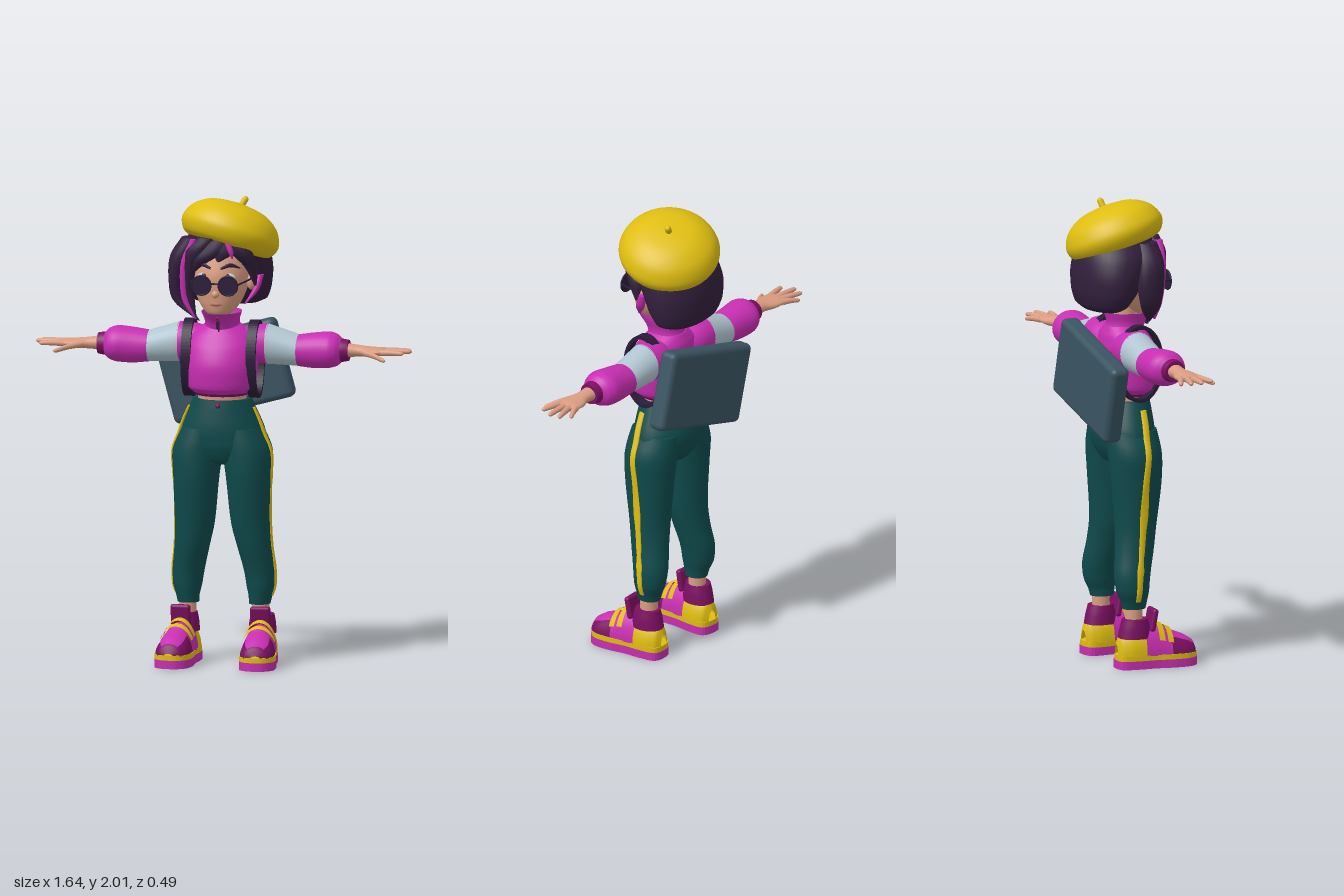
import * as THREE from 'three';
import { RoundedBoxGeometry } from 'three/addons/geometries/RoundedBoxGeometry.js';

const mat = (name, color) => {
  const m = new THREE.MeshStandardMaterial({ color, side: THREE.DoubleSide });
  m.name = name;
  return m;
};
const X = new THREE.Vector3(1, 0, 0), Y = new THREE.Vector3(0, 1, 0), Z = new THREE.Vector3(0, 0, 1);
const FULL = [0, Math.PI * 2], HALF = [0, Math.PI], TOP = [0.85, 2.29];

// Smooth skin through elliptical rings [x, y, z, radiusU, radiusV], capped when closed
function loft(rings, U = X, V = Z, arc = FULL, n = 28) {
  const centres = new THREE.CatmullRomCurve3(rings.map(r => new THREE.Vector3(r[0], r[1], r[2])));
  const radii = new THREE.CatmullRomCurve3(rings.map(r => new THREE.Vector3(r[3], r[4], 0)));
  const closed = arc === FULL, cols = closed ? n : n + 1, rows = (rings.length - 1) * 4;
  const pos = [], idx = [];
  const ends = centres.getPoint(1).sub(centres.getPoint(0));
  const flip = new THREE.Vector3().crossVectors(U, V).dot(ends) < 0;
  const tri = (a, b, c) => flip ? idx.push(a, c, b) : idx.push(a, b, c);
  const ring = t => {
    const c = centres.getPoint(t), r = radii.getPoint(t), first = pos.length / 3;
    for (let j = 0; j < cols; j++) {
      const a = arc[0] + (arc[1] - arc[0]) * j / n;
      const p = c.clone().addScaledVector(U, r.x * Math.cos(a)).addScaledVector(V, r.y * Math.sin(a));
      pos.push(p.x, p.y, p.z);
    }
    return first;
  };
  for (let i = 0; i <= rows; i++) ring(i / rows);
  for (let i = 0; i < rows; i++) for (let j = 0; j < n; j++) {
    const a = i * cols + j, b = i * cols + (j + 1) % cols;
    tri(a, b, a + cols);
    tri(b, b + cols, a + cols);
  }
  if (closed) for (const t of [0, 1]) {
    const first = ring(t), c = centres.getPoint(t), mid = pos.length / 3;
    pos.push(c.x, c.y, c.z);
    for (let j = 0; j < n; j++) {
      const a = first + j, b = first + (j + 1) % n;
      t ? tri(mid, a, b) : tri(mid, b, a);
    }
  }
  const g = new THREE.BufferGeometry();
  g.setAttribute('position', new THREE.Float32BufferAttribute(pos, 3));
  g.setIndex(idx);
  g.computeVertexNormals();
  return g;
}

export function createModel() {
  const skin = mat('skin', 0xd99c80), magenta = mat('magenta', 0xc82eb2), plum = mat('plum', 0x7c0f62);
  const hair = mat('dark hair', 0x321f3c), yellow = mat('yellow', 0xdebd10), teal = mat('teal', 0x0f4a4c);
  const slate = mat('slate', 0x3a5462), pale = mat('pale blue', 0xb0c5d0);
  const dark = mat('dark violet', 0x2a1c38), lip = mat('lip', 0xb06a60);
  const model = new THREE.Group();
  const add = (name, geometry, material, p = [0, 0, 0], parent = model) => {
    const m = new THREE.Mesh(geometry, material);
    m.name = name;
    m.position.set(...p);
    parent.add(m);
    return m;
  };

  // Head and face
  add('head', loft([[0, 1.508, .085, .03, .035], [0, 1.53, .07, .062, .068], [0, 1.57, .05, .092, .098],
    [0, 1.63, .035, .115, .12], [0, 1.7, .02, .124, .135], [0, 1.78, 0, .12, .13], [0, 1.83, -.01, .09, .1]]), skin);
  add('neck', new THREE.CylinderGeometry(.043, .05, .14, 24), skin, [0, 1.49, 0]);
  add('nose', new THREE.SphereGeometry(.016, 16, 12), skin, [0, 1.612, .157]);
  add('lips', new THREE.SphereGeometry(1, 16, 10), lip, [0, 1.567, .146]).scale.set(.026, .008, .006);
  for (const s of [-1, 1]) {
    add('ear', new THREE.SphereGeometry(1, 16, 12), skin, [s * .133, 1.655, .035]).scale.set(.02, .036, .024);
    add('eye', new THREE.SphereGeometry(1, 16, 10), pale, [s * .055, 1.685, .139]).scale.set(.03, .018, .008);
    add('pupil', new THREE.SphereGeometry(1, 12, 8), dark, [s * .052, 1.685, .144]).scale.set(.012, .015, .006);
    add('eyebrow', loft([[s * .022, 1.722, .146, .006, .004], [s * .06, 1.737, .134, .009, .005],
      [s * .098, 1.722, .106, .003, .004]], Y, Z, FULL, 10), hair);
    // Round glasses
    add('lens', new THREE.CylinderGeometry(.04, .04, .004, 32).rotateX(Math.PI / 2), dark, [s * .058, 1.652, .172]);
    add('lensRim', new THREE.TorusGeometry(.041, .004, 8, 36), dark, [s * .058, 1.652, .172]);
    add('temple', new THREE.TubeGeometry(new THREE.LineCurve3(new THREE.Vector3(s * .099, 1.657, .17),
      new THREE.Vector3(s * .145, 1.672, .02)), 2, .004, 8), dark);
  }
  add('bridge', new THREE.BoxGeometry(.036, .006, .006), dark, [0, 1.66, .174]);

  // Bob haircut
  add('hairBack', loft([[0, 1.545, -.11, .13, .072], [0, 1.565, -.11, .172, .095], [-.005, 1.62, -.1, .198, .124],
    [-.005, 1.7, -.083, .207, .147], [0, 1.78, -.055, .195, .163], [.01, 1.86, -.03, .15, .15]], X, Z, FULL, 40), hair);
  const lock = (material, name, ...rings) => add(name, loft(rings, X, Z, FULL, 14), material);
  lock(hair, 'sideLock', [-.12, 1.84, .04, .05, .05], [-.17, 1.76, .04, .05, .06], [-.193, 1.66, .03, .035, .06],
    [-.182, 1.57, .035, .028, .045], [-.09, 1.485, .07, .005, .006]);
  lock(hair, 'innerLock', [-.03, 1.85, .1, .06, .04], [-.09, 1.79, .11, .05, .035], [-.125, 1.7, .09, .03, .035],
    [-.13, 1.6, .08, .024, .025], [-.1, 1.5, .085, .004, .005]);
  lock(magenta, 'pinkLock', [-.1, 1.84, .11, .018, .02], [-.14, 1.75, .108, .018, .018], [-.15, 1.65, .1, .016, .016],
    [-.142, 1.57, .092, .014, .014], [-.1, 1.495, .092, .004, .005]);
  lock(hair, 'fringe', [.03, 1.86, .09, .07, .05], [-.01, 1.8, .122, .06, .03], [-.06, 1.755, .125, .04, .025],
    [-.105, 1.7, .105, .006, .008]);
  lock(hair, 'fringe', [.03, 1.85, .1, .05, .04], [.03, 1.79, .13, .045, .02], [.01, 1.75, .138, .006, .006]);
  lock(hair, 'fringe', [.07, 1.85, .07, .06, .06], [.1, 1.79, .095, .05, .04], [.138, 1.72, .06, .028, .035],
    [.15, 1.64, .04, .006, .01]);
  lock(magenta, 'pinkFringe', [.04, 1.85, .13, .014, .014], [.062, 1.8, .14, .013, .012], [.07, 1.765, .138, .003, .004]);
  lock(magenta, 'pinkLock', [.165, 1.68, -.005, .014, .02], [.15, 1.62, .022, .014, .022], [.11, 1.56, .06, .004, .006]);

  // Tilted beret with a stem
  const beret = new THREE.Group();
  beret.name = 'beret';
  beret.position.set(.025, 1.85, -.035);
  beret.rotation.set(-.28, 0, -.28);
  model.add(beret);
  const crown = new THREE.SplineCurve([[.15, -.065], [.19, -.05], [.215, -.01], [.212, .03], [.18, .08], [.11, .12], [0, .135]]
    .map(p => new THREE.Vector2(...p))).getPoints(28);
  crown[crown.length - 1].x = 0;
  add('beretCrown', new THREE.LatheGeometry(crown, 48), yellow, [0, 0, 0], beret);
  add('beretBase', new THREE.CylinderGeometry(.155, .15, .02, 40), yellow, [0, -.055, 0], beret);
  add('beretStem', new THREE.CapsuleGeometry(.014, .03, 6, 14), yellow, [.012, .143, 0], beret).rotation.z = -.25;

  // Jacket, collar and midriff
  add('jacket', loft([[0, 1.175, .025, .12, .105], [0, 1.2, .025, .147, .128], [0, 1.29, .025, .156, .136],
    [0, 1.37, .012, .155, .122], [0, 1.425, -.004, .135, .1], [0, 1.465, -.01, .075, .078]], X, Z, FULL, 40), magenta);
  add('jacketHem', loft([[0, 1.163, .02, .11, .1], [0, 1.185, .022, .126, .112]]), plum);
  add('collar', loft([[0, 1.43, -.01, .078, .082], [0, 1.475, .005, .074, .086], [0, 1.522, .02, .086, .113]],
    X, Z, [0, Math.PI * 1.9999], 36), magenta);
  add('zip', new THREE.BoxGeometry(.006, .09, .006), plum, [0, 1.475, .098]).rotation.x = .45;
  add('zipPull', new THREE.BoxGeometry(.014, .03, .008), dark, [0, 1.47, .105]);
  add('midriff', loft([[0, 1.12, 0, .115, .092], [0, 1.15, .003, .104, .09], [0, 1.19, .01, .106, .09]]), skin);

  // Trousers seat
  add('trouserSeat', loft([[0, 1.145, 0, .126, .1], [0, 1.1, -.005, .146, .112], [0, 1.0, -.014, .184, .129],
    [0, .94, -.01, .185, .12], [0, .88, -.005, .12, .09], [0, .86, -.005, .05, .05]], X, Z, FULL, 40), teal);
  add('waistButton', new THREE.SphereGeometry(.011, 12, 8), plum, [0, 1.122, .104]);

  for (const s of [-1, 1]) {
    // Sleeve bands from shoulder to cuff
    const arm = (name, material, rings) =>
      add(name, loft(rings.map(([x, y, z, u, v]) => [s * x, y, z, u, v]), Z, Y), material);
    arm('shoulder', magenta, [[.06, 1.37, -.02, .08, .07], [.13, 1.378, -.03, .084, .084], [.195, 1.378, -.033, .08, .086]]);
    arm('sleeveBand', pale, [[.19, 1.378, -.033, .081, .087], [.26, 1.366, -.033, .076, .077], [.33, 1.354, -.032, .073, .067]]);
    arm('sleeve', magenta, [[.325, 1.354, -.032, .074, .068], [.4, 1.356, -.031, .08, .077], [.46, 1.36, -.03, .086, .078],
      [.495, 1.36, -.028, .074, .068], [.515, 1.36, -.026, .052, .05]]);
    arm('cuff', plum, [[.503, 1.36, -.026, .054, .051], [.525, 1.36, -.025, .051, .049], [.546, 1.36, -.025, .047, .045]]);
    // Hand with spread fingers
    arm('hand', skin, [[.53, 1.362, -.025, .036, .031], [.59, 1.36, -.025, .034, .025], [.64, 1.358, -.025, .052, .021],
      [.685, 1.36, -.028, .054, .016], [.71, 1.36, -.03, .042, .01]]);
    for (const [x0, z0, x1, z1, y1] of [[.68, -.066, .762, -.1, 1.352], [.69, -.042, .808, -.074, 1.36],
      [.69, -.018, .82, -.03, 1.362], [.68, .006, .795, .028, 1.36], [.61, .004, .725, .075, 1.335]])
      arm('finger', [skin][0], [[x0, 1.358, z0, .015, .014], [(x0 + x1) / 2, (1.362 + y1) / 2, (z0 + z1) / 2, .013, .012],
        [x1 - .01, y1, z1 * .93 + z0 * .07, .01, .009], [x1, y1, z1, .002, .002]]);

    // Shoulder strap loop
    const loop = new THREE.Shape().absellipse(0, 0, .107, .168, 0, Math.PI * 2);
    loop.holes.push(new THREE.Path().absellipse(0, 0, .093, .152, 0, Math.PI * 2));
    add('shoulderStrap', new THREE.ExtrudeGeometry(loop, { depth: .042, bevelEnabled: false, curveSegments: 32 })
      .translate(0, 0, -.021).rotateY(-Math.PI / 2), dark, [s * .142, 1.316, 0]);

    // Trouser leg with side stripe
    add('trouserLeg', loft([[s * .085, 1.02, -.012, .09, .115], [s * .108, .92, -.005, .108, .118], [s * .115, .8, -.002, .098, .112],
      [s * .123, .6, -.01, .085, .09], [s * .137, .5, -.022, .075, .085], [s * .155, .4, -.04, .069, .08],
      [s * .16, .33, -.04, .062, .072], [s * .158, .285, -.034, .05, .058], [s * .155, .255, -.033, .046, .052]]), teal);
    add('sideStripe', loft([[.141, 1.11, .02, .014, .006], [.167, 1.05, .018, .015, .007], [.188, .99, .014, .015, .008],
      [.214, .92, .01, .015, .007], [.212, .8, 0, .015, .006], [.207, .6, -.012, .015, .006], [.212, .5, -.022, .014, .006],
      [.223, .4, -.033, .014, .006], [.221, .33, -.036, .013, .006], [.208, .29, -.036, .012, .006]]
      .map(([x, ...r]) => [s * x, ...r]), Z, X, FULL, 12), yellow);
    add('ankle', new THREE.CylinderGeometry(.037, .04, .14, 20), skin, [s * .16, .21, -.035]);

    // Chunky shoe, toe along +z
    const shoe = new THREE.Group();
    shoe.name = 'shoe';
    shoe.position.set(s * .175, 0, .06);
    shoe.rotation.y = s * .08;
    model.add(shoe);
    const outline = [[0, -.182], [.05, -.168], [.064, -.1], [.066, -.02], [.078, .07], [.07, .145], [.035, .178], [0, .183]];
    const pts = [...outline, ...outline.slice(1, -1).reverse().map(([x, z]) => [-x, z])];
    const curve = new THREE.CatmullRomCurve3(pts.map(([x, z]) => new THREE.Vector3(x, -z, 0)), true);
    const footprint = new THREE.Shape(curve.getPoints(56).slice(0, -1).map(p => new THREE.Vector2(p.x, p.y)));
    const slab = (name, material, y, h, k) => add(name, new THREE.ExtrudeGeometry(footprint, { depth: h, bevelEnabled: false })
      .rotateX(-Math.PI / 2).scale(k, 1, k), material, [0, y, 0], shoe);
    slab('outsole', magenta, 0, .036, 1);
    slab('midsole', yellow, .036, .022, .985);
    for (let i = 0; i < 5; i++)
      add('tread', new THREE.BoxGeometry(.11, .004, .012), plum, [0, .002, -.13 + i * .06], shoe);
    const upper = (name, material, rings, arc = HALF) =>
      add(name, loft(rings.map(([z, w, h]) => [0, .055, z, w, h]), X, Y, arc, 20), material, [0, 0, 0], shoe);
    upper('toeCap', plum, [[.178, .02, .01], [.165, .052, .042], [.125, .072, .07], [.05, .072, .1]]);
    upper('toeTop', magenta, [[.162, .055, .05], [.125, .076, .074], [.06, .076, .1]], TOP);
    upper('shoeSide', magenta, [[.055, .073, .098], [.02, .068, .12], [-.07, .063, .125]]);
    upper('shoeHeel', yellow, [[-.06, .065, .12], [-.12, .062, .105], [-.162, .046, .09], [-.178, .02, .05]]);
    upper('shoeStrap', yellow, [[-.005, .078, .141], [.022, .078, .131]], [.5, 2.64]);
    upper('shoeStrap', yellow, [[.034, .08, .122], [.06, .08, .111]], [.5, 2.64]);
    add('shoeCollar', loft([[0, .13, -.095, .06, .074], [0, .175, -.094, .057, .066], [0, .212, -.094, .05, .056]]),
      plum, [0, 0, 0], shoe);
    add('tongue', new RoundedBoxGeometry(.088, .1, .026, 3, .012), plum, [0, .203, -.018], shoe).rotation.x = .18;
  }

  // Flat tilted backpack
  add('backpack', new RoundedBoxGeometry(.54, .35, .085, 4, .026), slate, [-.02, 1.236, -.17]).rotation.z = .265;
  return model;
}
